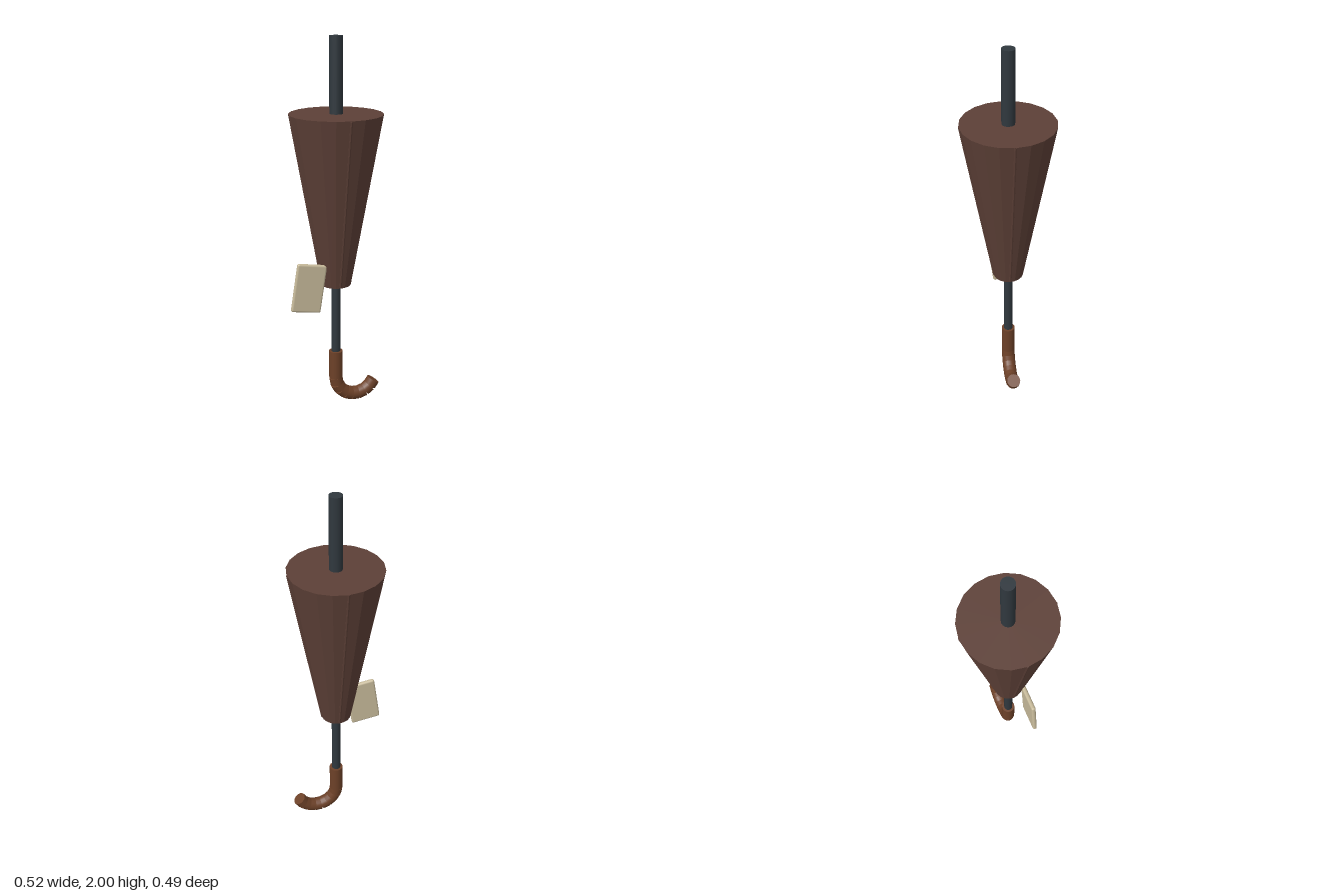
import * as THREE from 'three';
import { RoundedBoxGeometry } from 'three/addons/geometries/RoundedBoxGeometry.js';

const AXIS_X = 0.005;
const cloth = new THREE.MeshStandardMaterial({ color: 0x5d4037, flatShading: true });
const metal = new THREE.MeshStandardMaterial({ color: 0x30383e });
const wood = new THREE.MeshStandardMaterial({ color: 0x6d4128 });
const paper = new THREE.MeshStandardMaterial({ color: 0xc8bb9b });

export function createModel() {
  const model = new THREE.Group();
  model.name = 'closedUmbrella';

  // Cylinder or cone frustum between two points
  function rod(name, a, b, rBottom, rTop, sides, material) {
    const dir = b.clone().sub(a);
    const mesh = new THREE.Mesh(new THREE.CylinderGeometry(rTop, rBottom, dir.length(), sides), material);
    mesh.position.copy(a).add(b).multiplyScalar(0.5);
    mesh.quaternion.setFromUnitVectors(new THREE.Vector3(0, 1, 0), dir.normalize());
    mesh.name = name;
    model.add(mesh);
  }
  const onAxis = (y) => new THREE.Vector3(AXIS_X, y, 0);

  // Shaft, tip and folded canopy
  rod('shaft', onAxis(0.25), onAxis(1.7), 0.024, 0.024, 16, metal);
  rod('tip', onAxis(1.6), onAxis(2), 0.034, 0.034, 16, metal);
  rod('canopy', onAxis(0.705), onAxis(1.615), 0.08, 0.242, 20, cloth);

  // Four thin ribs half sunk into the canopy
  for (let i = 0; i < 4; i++) {
    const angle = (i * Math.PI) / 2;
    const at = (r, y) => new THREE.Vector3(AXIS_X + Math.sin(angle) * r, y, Math.cos(angle) * r);
    rod('canopyRib', at(0.074, 0.707), at(0.235, 1.613), 0.009, 0.009, 8, cloth);
  }

  // Grip and hook made of short straight segments
  const hookR = 0.115, hookY = 0.155, segments = 8, sweep = THREE.MathUtils.degToRad(156);
  rod('grip', onAxis(hookY), onAxis(0.315), 0.037, 0.037, 16, wood);
  const hookPoint = (i) => {
    const a = Math.PI + (sweep * i) / segments;
    return new THREE.Vector3(AXIS_X + hookR + hookR * Math.cos(a), hookY + hookR * Math.sin(a), 0);
  };
  for (let i = 0; i < segments; i++) {
    rod('hookSegment', hookPoint(i), hookPoint(i + 1), 0.037, 0.037, 16, wood);
  }

  // Tilted tag beside the canopy
  const tag = new THREE.Mesh(new RoundedBoxGeometry(0.162, 0.264, 0.024, 2, 0.011), paper);
  tag.name = 'tag';
  tag.position.set(-0.162, 0.717, 0.057);
  tag.rotation.z = -0.15;
  model.add(tag);

  return model;
}
